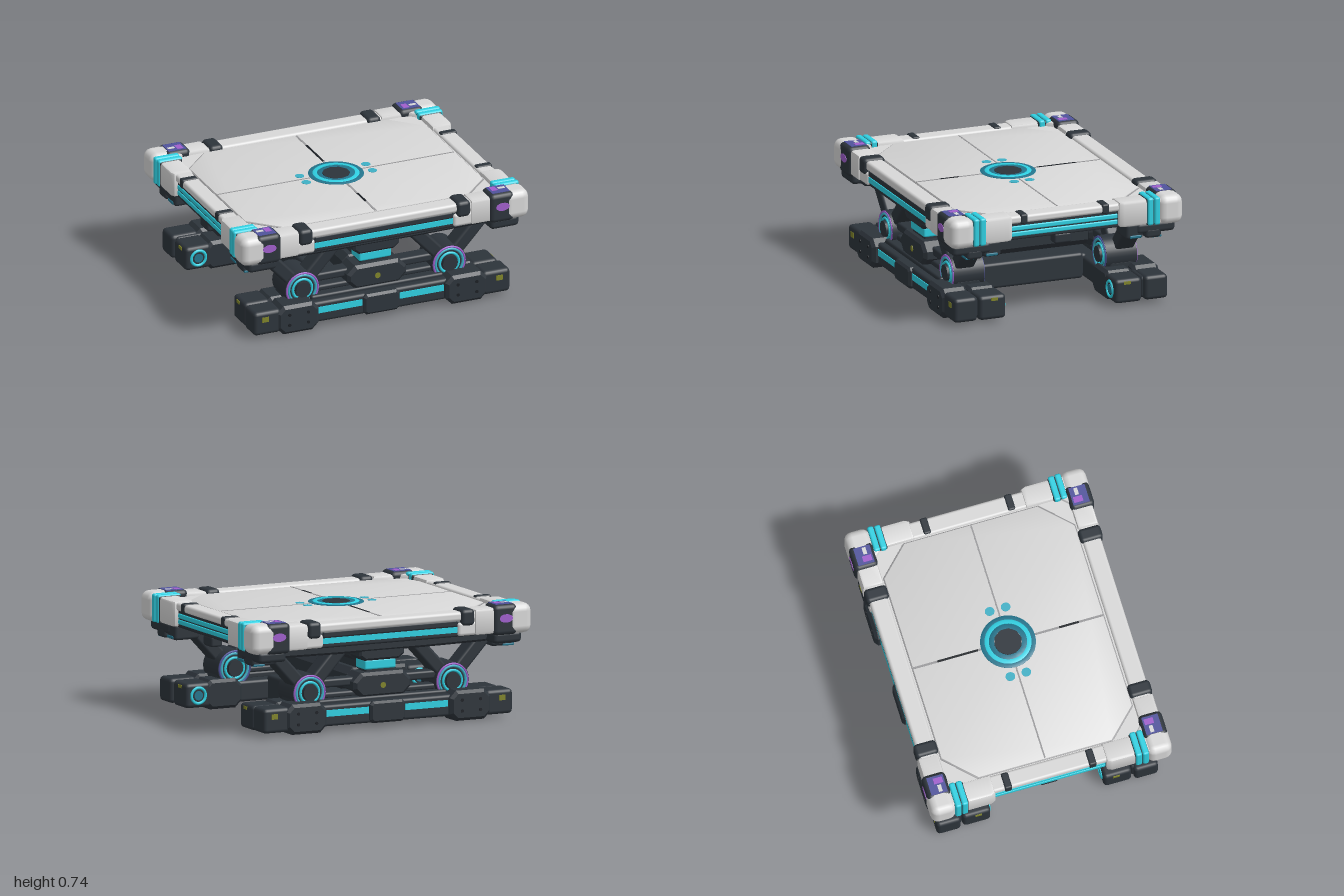
import * as THREE from 'three';
import { RoundedBoxGeometry } from 'three/addons/geometries/RoundedBoxGeometry.js';
import { toCreasedNormals } from 'three/addons/utils/BufferGeometryUtils.js';

const material = (name, color) => Object.assign(new THREE.MeshStandardMaterial({ color }), { name });
const M = {
  shell: material('pale shell', 0xd8d8d8),
  groove: material('groove grey', 0x9a9a9c),
  dark: material('dark metal', 0x2d343b),
  seam: material('seam black', 0x1b1f24),
  cyan: material('cyan light', 0x2fd0e2),
  softCyan: material('soft cyan', 0x3fb0c6),
  teal: material('deep teal', 0x23748c),
  indigo: material('indigo', 0x50539c),
  purple: material('purple', 0xa05fcc),
  olive: material('olive', 0x80842a),
};

export function createModel() {
  const root = new THREE.Group();
  root.name = 'scissorLiftPlatform';

  const add = (name, mat, geo, x = 0, y = 0, z = 0) => {
    const mesh = new THREE.Mesh(geo, mat);
    mesh.name = name;
    mesh.position.set(x, y, z);
    root.add(mesh);
    return mesh;
  };
  // Box from its limits, with rounded edges when r > 0
  const box = (name, mat, x0, x1, y0, y1, z0, z1, r = 0) => {
    const w = Math.abs(x1 - x0), h = y1 - y0, d = Math.abs(z1 - z0);
    const geo = r ? new RoundedBoxGeometry(w, h, d, 2, r) : new THREE.BoxGeometry(w, h, d);
    return add(name, mat, geo, (x0 + x1) / 2, (y0 + y1) / 2, (z0 + z1) / 2);
  };
  // Outline in the front plane, extruded between two depths with a bevel
  const prism = (name, mat, pts, z0, z1, b = 0.015) => {
    const shape = new THREE.Shape(pts.map(p => new THREE.Vector2(...p)));
    const geo = new THREE.ExtrudeGeometry(shape, {
      depth: Math.abs(z1 - z0) - 2 * b, bevelThickness: b, bevelSize: b, bevelOffset: -b, bevelSegments: 1,
    });
    return add(name, mat, geo, 0, 0, Math.min(z0, z1) + b);
  };
  // Outline in plan (x, z), extruded upwards
  const slab = (name, mat, shape, y0, y1, b) => {
    const geo = new THREE.ExtrudeGeometry(shape, {
      depth: y1 - y0 - 2 * b, bevelThickness: b, bevelSize: b, bevelOffset: -b, bevelSegments: 2, curveSegments: 8,
    });
    geo.rotateX(-Math.PI / 2);
    return add(name, mat, toCreasedNormals(geo, 0.6), 0, y0 + b, 0);
  };
  const octagon = (w, h, c) => [[w, h - c], [w - c, h], [c - w, h], [-w, h - c], [-w, c - h], [c - w, -h], [w - c, -h], [w, c - h]];
  const disc = (name, mat, r, depth, x, y, z, sides = 28) =>
    add(name, mat, new THREE.CylinderGeometry(r, r, depth, sides).rotateX(Math.PI / 2), x, y, z);
  const ring = (name, mat, r, t, x, y, z) => add(name, mat, new THREE.TorusGeometry(r, t, 8, 36), x, y, z);
  // Flat ring lying on the deck
  const deckRing = (name, mat, r0, r1, y0, y1) => add(name, mat, toCreasedNormals(new THREE.LatheGeometry(
    [[r0, y0], [r1, y0], [r1, y1 - 0.003], [r1 - 0.005, y1], [r0, y1], [r0, y0]].map(p => new THREE.Vector2(...p)), 40), 0.6));

  // Deck: thin border plate, octagonal panel with a grooved outline, seams
  box('deckPlate', M.shell, -0.86, 0.86, 0.678, 0.695, -0.67, 0.67);
  const plan = (w, h, c) => new THREE.Shape(octagon(w, h, c).map(p => new THREE.Vector2(...p)));
  slab('deckGroove', M.groove, plan(0.832, 0.639, 0.19), 0.684, 0.698, 0.004);
  slab('deckPanel', M.shell, plan(0.825, 0.632, 0.19), 0.684, 0.704, 0.004);
  for (const s of [-1, 1]) {
    box('deckSeamLong', M.groove, s * 0.17, s * 0.82, 0.7, 0.7055, -0.005, 0.005);
    box('deckSeamCross', M.groove, -0.007, 0.007, 0.7, 0.7055, s * 0.17, s * 0.63);
    box('deckSeamGap', M.seam, -0.007, 0.007, 0.701, 0.7065, s * 0.34, s * 0.47);
    for (const t of [-1, 1]) {
      const spot = add('deckSpot', M.softCyan, new THREE.CylinderGeometry(0.03, 0.03, 0.004, 14), s * 0.23, 0.704, t * 0.053);
      spot.scale.set(1, 1, 1.05);
    }
  }
  box('deckSeamGapBack', M.seam, -0.007, 0.007, 0.701, 0.7065, -0.34, -0.2);
  // Centre emitter
  add('emitterCore', M.dark, new THREE.CylinderGeometry(0.09, 0.095, 0.025, 10), 0, 0.6975, 0);
  deckRing('emitterInnerRing', M.teal, 0.088, 0.122, 0.69, 0.708);
  deckRing('emitterGlow', M.cyan, 0.122, 0.15, 0.69, 0.712);
  deckRing('emitterOuterRing', M.teal, 0.15, 0.178, 0.69, 0.709);

  for (const s of [-1, 1]) {
    // Long edge rails, front and back
    box('edgeRail', M.shell, -0.62, 0.62, 0.652, 0.712, s * 0.648, s * 0.768, 0.02);
    box('edgeBody', M.dark, -0.62, 0.62, 0.55, 0.66, s * 0.65, s * 0.755, 0.015);
    box('edgeLight', M.cyan, -0.48, 0.48, 0.58, 0.616, s * 0.752, s * 0.762);
    box('edgeLip', M.dark, -0.48, 0.48, 0.618, 0.66, s * 0.7, s * 0.764, 0.01);
    // Short edge rails, left and right
    box('sideRail', M.shell, s * 0.838, s * 0.95, 0.66, 0.712, -0.4, 0.4, 0.018);
    box('sideBody', M.dark, s * 0.84, s * 0.935, 0.55, 0.67, -0.4, 0.4, 0.012);
    for (const y of [0.573, 0.612])
      box('sideLight', M.cyan, s * 0.92, s * 0.942, y, y + 0.032, -0.368, 0.368, 0.008);
    box('underTab', M.dark, s * 0.84, s * 0.92, 0.485, 0.555, -0.06, 0.06, 0.015);

    // Under-deck beam that carries the arms
    prism('underBeam', M.dark, [[-0.78, 0.56], [-0.74, 0.49], [-0.3, 0.485], [0.3, 0.485], [0.74, 0.49], [0.78, 0.56]], s * 0.5, s * 0.66);

    // Base rail with light strips, outer and inner beams
    box('baseRailOuter', M.dark, -0.86, 0.86, 0.035, 0.175, s * 0.56, s * 0.71, 0.02);
    box('baseRailInner', M.dark, -0.82, 0.82, 0.03, 0.165, s * 0.4, s * 0.57, 0.02);
    prism('baseCentreBlock', M.dark, octagon(0.125, 0.07, 0.02).map(([x, y]) => [x, y + 0.105]), s * 0.6, s * 0.735);
    box('baseTopBar', M.dark, -0.46, 0.46, 0.155, 0.2, s * 0.5, s * 0.66, 0.015);

    // Hub between the wheels, glowing neck and upper block
    prism('hub', M.dark, octagon(0.205, 0.08, 0.055).map(([x, y]) => [x, y + 0.27]), s * 0.48, s * 0.66, 0.02);
    disc('hubMark', M.olive, 0.02, 0.006, 0, 0.265, s * 0.661, 8);
    box('hubNeck', M.dark, -0.1, 0.1, 0.33, 0.45, s * 0.5, s * 0.615, 0.01);
    box('hubGlow', M.cyan, -0.112, 0.112, 0.363, 0.428, s * 0.49, s * 0.625, 0.012);
    prism('hubCap', M.dark, [[-0.12, 0.425], [0.12, 0.425], [0.16, 0.455], [0.16, 0.54], [-0.16, 0.54], [-0.16, 0.455]], s * 0.47, s * 0.65);
    for (const [y0, y1] of [[0.265, 0.32], [0.195, 0.235]])
      box('axleBar', M.dark, -0.5, 0.5, y0, y1, s * 0.5, s * 0.6, 0.015);
  }

  // Cross members joining the front and back halves
  box('baseCrossBeam', M.dark, -0.28, 0.28, 0.04, 0.185, -0.43, 0.43, 0.02);
  for (const s of [-1, 1]) box('baseCrossRib', M.dark, s * 0.21, s * 0.29, 0.025, 0.195, -0.4, 0.4, 0.02);
  prism('middleCrossBeam', M.dark, octagon(0.17, 0.08, 0.04).map(([x, y]) => [x, y + 0.28]), -0.5, 0.5);
  box('neckCrossBeam', M.dark, -0.1, 0.1, 0.34, 0.44, -0.5, 0.5, 0.02);
  prism('upperCrossBeam', M.dark, octagon(0.15, 0.065, 0.03).map(([x, y]) => [x, y + 0.475]), -0.5, 0.5);

  // Everything that repeats at the four corners
  for (const sx of [-1, 1]) for (const sz of [-1, 1]) {
    const qbox = (name, mat, x0, x1, y0, y1, z0, z1, r) => box(name, mat, sx * x0, sx * x1, y0, y1, sz * z0, sz * z1, r);

    // Corner shell: L shape with a round outer corner
    const L = new THREE.Shape();
    const P = (x, z) => [sx * x, -sz * z];
    L.moveTo(...P(0.6, 0.645));
    L.lineTo(...P(0.78, 0.645));
    L.lineTo(...P(0.835, 0.59));
    L.lineTo(...P(0.835, 0.37));
    L.lineTo(...P(0.96, 0.37));
    L.lineTo(...P(0.975, 0.4));
    L.lineTo(...P(0.975, 0.7));
    L.quadraticCurveTo(...P(0.975, 0.78), ...P(0.89, 0.78));
    L.lineTo(...P(0.6, 0.78));
    L.closePath();
    slab('cornerShell', M.shell, L, 0.555, 0.722, 0.018);
    qbox('cornerCap', M.shell, 0.82, 1, 0.545, 0.738, 0.635, 0.8, 0.05);
    qbox('cornerStep', M.shell, 0.48, 0.62, 0.555, 0.645, 0.66, 0.772, 0.02);

    // Cyan bands on a dark gasket, dark clip with coloured patches
    qbox('bandGasket', M.dark, 0.825, 0.98, 0.552, 0.727, 0.551, 0.645, 0.012);
    qbox('cornerBand', M.cyan, 0.82, 0.988, 0.552, 0.735, 0.556, 0.598, 0.014);
    qbox('cornerBand', M.cyan, 0.82, 0.992, 0.552, 0.736, 0.601, 0.642, 0.014);
    qbox('cornerClip', M.dark, 0.725, 0.895, 0.542, 0.74, 0.64, 0.796, 0.03);
    qbox('clipPatch', M.indigo, 0.75, 0.872, 0.736, 0.742, 0.66, 0.768);
    qbox('clipPatchInner', M.purple, 0.765, 0.805, 0.738, 0.7435, 0.67, 0.73);
    qbox('clipPatchPale', M.shell, 0.815, 0.862, 0.738, 0.7435, 0.69, 0.715);
    disc('clipLight', M.purple, 0.047, 0.006, sx * 0.81, 0.652, sz * 0.796, 16).scale.set(1, 0.58, 1);

    // Clamps on the rails
    qbox('railClamp', M.dark, 0.5, 0.595, 0.62, 0.728, 0.635, 0.785, 0.025);
    qbox('sideClamp', M.dark, 0.845, 0.955, 0.655, 0.72, 0.255, 0.305, 0.012);

    // Feet under the corners
    qbox('cornerFoot', M.dark, 0.74, 0.94, 0.485, 0.56, 0.5, 0.765, 0.025);
    qbox('cornerFootPad', M.dark, 0.77, 0.94, 0.453, 0.52, 0.56, 0.67, 0.02);
    qbox('footBlock', M.dark, 0.75, 0.93, 0.455, 0.56, 0.43, 0.55, 0.02);
    qbox('footLight', M.teal, 0.82, 0.935, 0.462, 0.482, 0.455, 0.535, 0.006);
    qbox('padLight', M.teal, 0.85, 0.93, 0.453, 0.468, 0.6, 0.673, 0.005);

    // V arms rising from the wheel
    for (const end of [0.26, 0.76]) {
      const dx = end - 0.51, dy = 0.27, len = Math.hypot(dx, dy);
      const arm = add('liftArm', M.dark, new RoundedBoxGeometry(0.09, len + 0.06, 0.13, 2, 0.018),
        sx * (0.51 + dx / 2), 0.25 + dy / 2, sz * 0.55);
      arm.rotation.z = -Math.atan2(sx * dx, dy);
    }
    // Wheel with lit faces on both sides
    const wx = sx * 0.51, wy = 0.25;
    disc('wheel', M.dark, 0.118, 0.21, wx, wy, sz * 0.525);
    disc('wheelHub', M.dark, 0.052, 0.25, wx, wy, sz * 0.525, 16);
    for (const [z, rim] of [[0.42, M.indigo], [0.63, M.purple]]) {
      ring('wheelRim', rim, 0.108, 0.007, wx, wy, sz * z);
      ring('wheelGlow', M.softCyan, 0.094, 0.009, wx, wy, sz * z);
      ring('wheelInnerGlow', M.cyan, 0.066, 0.009, wx, wy, sz * z);
    }
    qbox('wheelMount', M.dark, 0.4, 0.62, 0.15, 0.225, 0.44, 0.62, 0.02);

    // Base end blocks and caps
    const block = (x0, x1, y0, y1, c) => octagon((x1 - x0) / 2, (y1 - y0) / 2, c)
      .map(([x, y]) => [sx * (x0 + x1) / 2 + x, (y0 + y1) / 2 + y]);
    prism('baseBlock', M.dark, block(0.44, 0.73, 0.005, 0.2, 0.045), sz * 0.57, sz * 0.748, 0.02);
    prism('baseBlockInner', M.dark, block(0.47, 0.74, 0, 0.19, 0.045), sz * 0.38, sz * 0.56, 0.02);
    qbox('baseCap', M.dark, 0.7, 0.89, 0.025, 0.185, 0.575, 0.735, 0.025);
    qbox('baseCapInner', M.dark, 0.7, 0.88, 0.02, 0.18, 0.375, 0.56, 0.025);
    for (const x of [0.52, 0.65]) for (const y of [0.07, 0.14])
      disc('bolt', M.seam, 0.011, 0.008, sx * x, y, sz * 0.748, 8);
    qbox('capMark', M.olive, 0.79, 0.835, 0.115, 0.15, 0.732, 0.738);
    qbox('endMark', M.olive, 0.877, 0.883, 0.145, 0.165, 0.435, 0.48);
    qbox('baseLight', M.cyan, 0.13, 0.435, 0.1, 0.142, 0.706, 0.716);
    ring('baseEndGlow', M.cyan, 0.05, 0.01, sx * 0.79, 0.1, sz * 0.376);
    disc('baseEndCore', M.teal, 0.03, 0.006, sx * 0.79, 0.1, sz * 0.374, 16);
  }
  return root;
}
